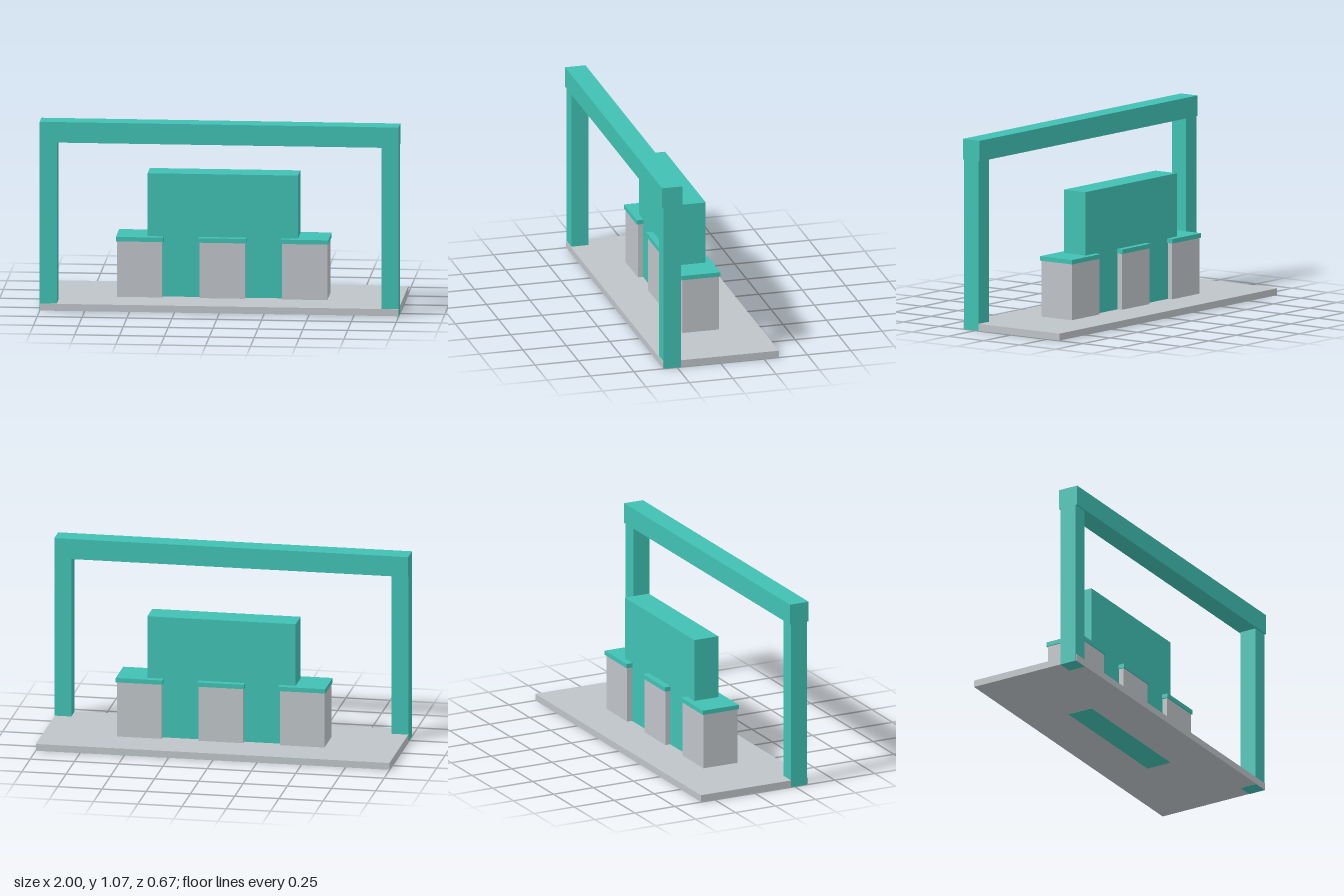
import * as THREE from 'three';

export function createModel() {
  const model = new THREE.Group();
  const teal = new THREE.MeshStandardMaterial({ color: 0x40c1b3 });
  teal.name = 'teal';
  const grey = new THREE.MeshStandardMaterial({ color: 0xbfc4c8 });
  grey.name = 'light grey';

  // Box given by its limits on each axis
  function box(name, material, [x0, x1], [y0, y1], [z0, z1]) {
    const mesh = new THREE.Mesh(new THREE.BoxGeometry(x1 - x0, y1 - y0, z1 - z0), material);
    mesh.position.set((x0 + x1) / 2, (y0 + y1) / 2, (z0 + z1) / 2);
    mesh.name = name;
    model.add(mesh);
  }

  // Floor slab, a hair inside the posts and wall that pass through it
  box('floorSlab', grey, [-0.999, 0.999], [0.001, 0.04], [-0.336, 0.332]);

  // Gateway: two posts and a slightly deeper beam
  box('rightPost', teal, [-1, -0.905], [0, 0.955], [0.228, 0.328]);
  box('leftPost', teal, [0.905, 1], [0, 0.955], [0.228, 0.328]);
  box('topBeam', teal, [-1, 1], [0.954, 1.07], [0.22, 0.337]);

  // Central wall
  box('centralWall', teal, [-0.42, 0.418], [0, 0.736], [-0.077, 0.073]);

  // Three capped pedestals straddling the wall
  ['right', 'middle', 'left'].forEach((side, i) => {
    const x = (i - 1) * 0.46 - 0.002;
    box(side + 'Pedestal', grey, [x - 0.126, x + 0.126], [0.04, 0.356], [-0.107, 0.104]);
    box(side + 'PedestalCap', teal, [x - 0.132, x + 0.132], [0.355, 0.38], [-0.114, 0.111]);
  });

  return model;
}
